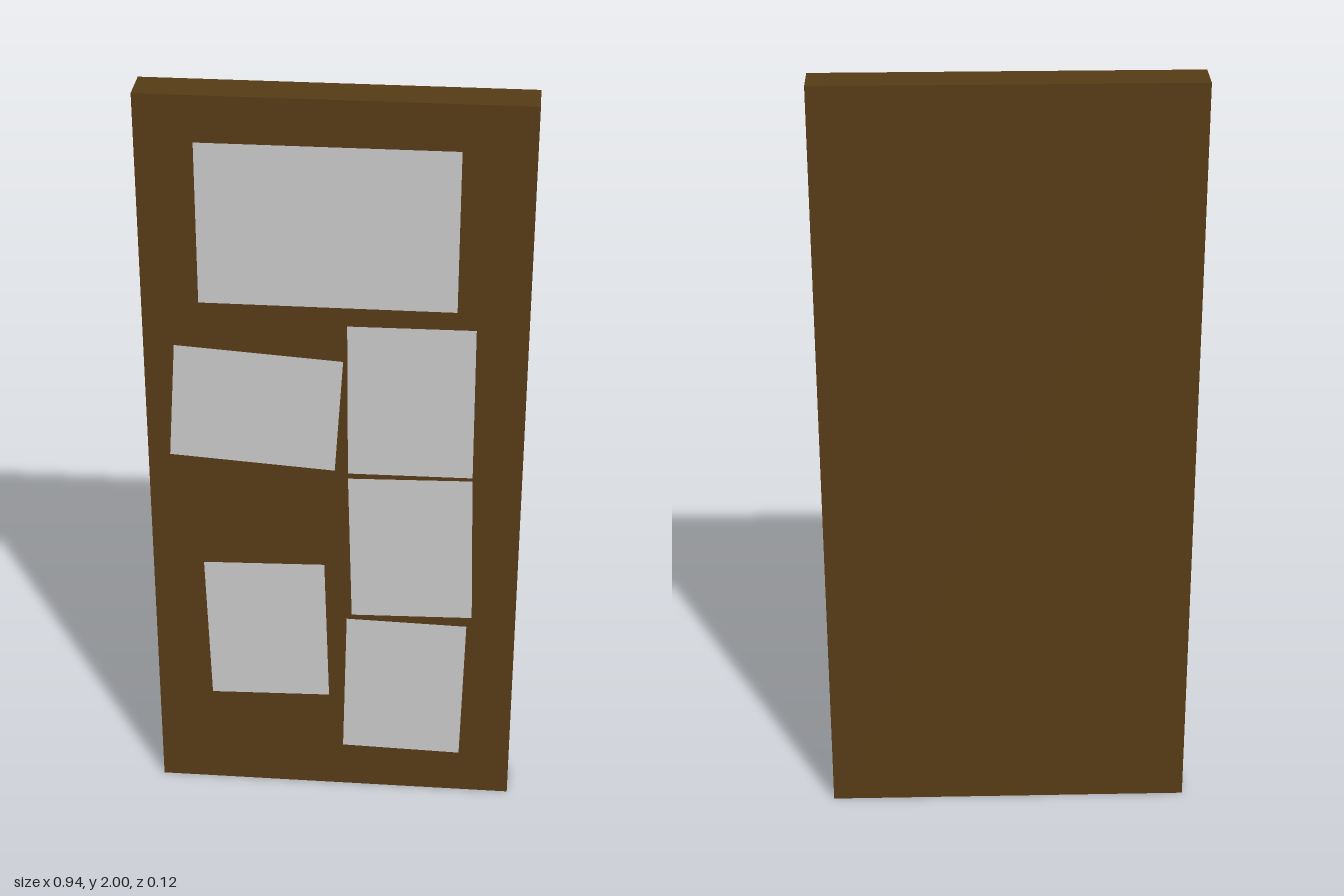
import * as THREE from 'three';

export function createModel() {
  const model = new THREE.Group();
  const wood = new THREE.MeshStandardMaterial({ color: 0x573c16 });
  const paper = new THREE.MeshStandardMaterial({ color: 0xcccccc, side: THREE.DoubleSide });

  // Wooden backing board
  const board = new THREE.Mesh(new THREE.BoxGeometry(0.944, 2, 0.102), wood);
  board.name = 'board';
  board.position.set(0, 1, -0.007);
  model.add(board);

  // Paper notices just in front of the board: x, y, width, height, tilt
  const notices = [
    ['headerNotice', -0.016, 1.68, 0.627, 0.417, 0],
    ['upperRightSideNotice', -0.196, 1.182, 0.417, 0.313, -0.066],
    ['upperLeftSideNotice', 0.19, 1.215, 0.313, 0.417, 0.007],
    ['middleLeftSideNotice', 0.197, 0.786, 0.313, 0.417, 0.026],
    ['lowerLeftSideNotice', 0.185, 0.348, 0.313, 0.417, -0.021],
    ['lowerRightSideNotice', -0.176, 0.513, 0.313, 0.417, 0.028],
  ];
  for (const [name, x, y, width, height, tilt] of notices) {
    const notice = new THREE.Mesh(new THREE.PlaneGeometry(width, height), paper);
    notice.name = name;
    notice.position.set(x, y, 0.058);
    notice.rotation.z = tilt;
    model.add(notice);
  }
  return model;
}
